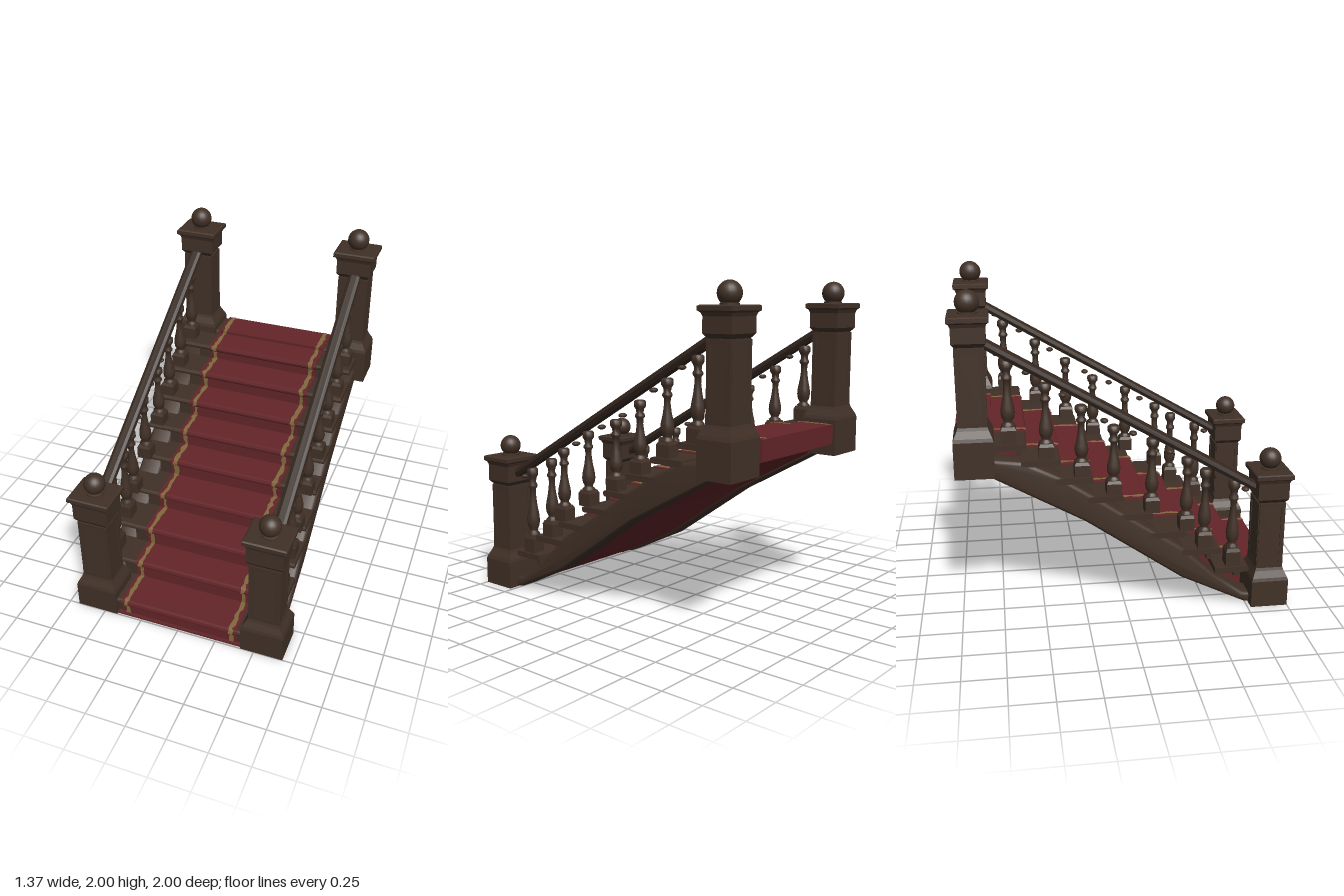
import * as THREE from 'three';
import { mergeVertices, toCreasedNormals } from 'three/addons/utils/BufferGeometryUtils.js';

const paint = (name, color) => {
  const m = new THREE.MeshStandardMaterial({ color });
  m.name = name;
  return m;
};

// front edge (z) and top (y) of each step
const FRONTS = [0.99, 0.765, 0.585, 0.37, 0.16, -0.02, -0.2, -0.39, -0.585, -0.79];
const TOPS = [0.12, 0.25, 0.385, 0.51, 0.64, 0.765, 0.89, 1.01, 1.115, 1.135];
const SOFFIT = [[0.99, 0.005], [0.77, 0.008], [0.34, 0.225], [-0.25, 0.635], [-0.84, 0.965]];
const BOARD = 0.036, RAIL_X = 0.56;

// rounded front edge of a tread, bottom to top
const nosing = (z, top, d) => [
  [z - 0.012, top - BOARD - d], [z - 0.002 + d, top - BOARD * 0.75],
  [z + d, top - BOARD * 0.4], [z - 0.005 + d, top - 0.004 + d], [z - 0.014, top + d],
];

// stepped line over all risers and treads, raised by d
function stepLine(d) {
  const line = [[FRONTS[0] - 0.025 + d, 0.005]];
  FRONTS.forEach((z, i) => {
    const prev = i ? TOPS[i - 1] : 0;
    if (TOPS[i] - prev < 0.05) line.push([z + d, prev + d], [z + d, TOPS[i] + d]);
    else {
      if (i) line.push([z - 0.025 + d, prev + d]);
      line.push([z - 0.025 + d, TOPS[i] - BOARD - d], ...nosing(z, TOPS[i], d));
    }
  });
  line.push([-0.998, TOPS.at(-1) + d]);
  return line;
}

// side outline in (z, y), extruded between x0 and x1
function sideExtrude(points, x0, x1, bevel = 0) {
  const shape = new THREE.Shape(points.map(([z, y]) => new THREE.Vector2(z, y)));
  const g = new THREE.ExtrudeGeometry(shape, {
    depth: x1 - x0 - 2 * bevel, bevelEnabled: bevel > 0, bevelSize: bevel,
    bevelThickness: bevel, bevelOffset: -bevel, bevelSegments: 3,
  });
  return g.rotateY(-Math.PI / 2).translate(x1 - bevel, 0, 0);
}

// square turned profile: [half width, y]
function squareLathe(profile, depthScale = 1) {
  const pts = profile.map(([r, y]) => new THREE.Vector2(r * Math.SQRT2, y));
  const g = new THREE.LatheGeometry(pts, 4).rotateY(Math.PI / 4).scale(1, 1, depthScale).toNonIndexed();
  g.computeVertexNormals();
  return g;
}

const roundLathe = (profile, seg = 14) => toCreasedNormals(
  mergeVertices(new THREE.LatheGeometry(profile.map(([r, y]) => new THREE.Vector2(r, y)), seg)), 0.9);

export function createModel() {
  const model = new THREE.Group();
  model.name = 'staircase';
  const wood = paint('dark wood', 0x413127);
  const railWood = paint('rail wood', 0x34271f);
  const carpet = paint('red carpet', 0x632529);
  const gold = paint('faded gold', 0x82693f);
  gold.side = THREE.DoubleSide;

  const add = (parent, name, geometry, material, x = 0, y = 0, z = 0) => {
    const mesh = new THREE.Mesh(geometry, material);
    mesh.name = name;
    mesh.position.set(x, y, z);
    parent.add(mesh);
    return mesh;
  };

  // carpeted core of the flight
  const under = [[-0.998, 1.02], [-0.85, 1.02], ...[...SOFFIT].reverse()];
  add(model, 'carpetRunner', sideExtrude([...stepLine(0.006), ...under], -0.385, 0.385), carpet);

  // underside panel between the stringers
  const panel = [...SOFFIT.map(([z, y]) => [z, y + 0.008]).reverse(), ...SOFFIT.map(([z, y]) => [z, y - 0.004])];
  add(model, 'undersidePanel', sideExtrude(panel, -0.49, 0.49), carpet);

  // wooden treads and risers
  FRONTS.forEach((z, i) => {
    const top = TOPS[i];
    const last = i === FRONTS.length - 1;
    const half = i === 0 || last ? 0.42 : 0.62;
    const back = last ? -0.985 : FRONTS[i + 1] - 0.035;
    add(model, 'tread', sideExtrude([...nosing(z, top, 0), [back, top], [back, top - BOARD]], -half, half), wood);
    if (!last) {
      const low = i ? TOPS[i - 1] - 0.01 : 0.005;
      const h = top - BOARD - low;
      add(model, 'riser', new THREE.BoxGeometry(i ? 0.94 : 0.84, h, 0.03), wood, 0, low + h / 2, z - 0.04);
    }
  });

  // worn gold stripes: ragged ribbons laid over the steps
  let seed = 7;
  const rand = () => (seed = (seed * 16807) % 2147483647) / 2147483647;
  const line = stepLine(0.0095).map(([z, y]) => new THREE.Vector2(z, y));
  for (const side of [-1, 1]) {
    const pos = [], idx = [];
    line.forEach((p, i) => {
      const next = line[i + 1] ?? p;
      const n = Math.max(1, Math.round(p.distanceTo(next) / 0.03));
      for (let k = 0; k < n; k++) {
        const q = p.clone().lerp(next, k / n);
        const inner = 0.328 + rand() * 0.012, outer = 0.352 + rand() * 0.018;
        pos.push(side * inner, q.y, q.x, side * outer, q.y, q.x);
      }
    });
    for (let a = 0; a < pos.length / 3 - 2; a += 2) {
      if (side > 0) idx.push(a, a + 1, a + 2, a + 1, a + 3, a + 2);
      else idx.push(a, a + 2, a + 1, a + 1, a + 2, a + 3);
    }
    const g = new THREE.BufferGeometry();
    g.setAttribute('position', new THREE.Float32BufferAttribute(pos, 3));
    g.setIndex(idx);
    const flat = g.toNonIndexed();
    flat.computeVertexNormals();
    add(model, 'goldStripe', flat, gold);
  }

  // newel post: base, panelled shaft, moulded cap and ball
  function newelPost(baseH, shaftTop, capTop, ballR) {
    const post = new THREE.Group();
    post.name = 'newelPost';
    const depth = 0.85;
    add(post, 'postBody', squareLathe([
      [0, 0], [0.135, 0], [0.135, baseH - 0.06], [0.128, baseH - 0.04], [0.106, baseH], [0.098, baseH + 0.02],
      [0.09, shaftTop - 0.01], [0.1, shaftTop], [0.112, shaftTop + 0.015], [0.112, capTop - 0.06],
      [0.12, capTop - 0.04], [0.135, capTop - 0.03], [0.135, capTop - 0.006], [0.125, capTop], [0, capTop],
    ], depth), wood);
    const h = shaftTop - baseH - 0.03;
    const frame = new THREE.Shape([[-0.092, 0], [0.092, 0], [0.092, h], [-0.092, h]].map(p => new THREE.Vector2(...p)));
    frame.holes.push(new THREE.Path([[-0.066, 0.03], [-0.066, h - 0.03], [0.066, h - 0.03], [0.066, 0.03]].map(p => new THREE.Vector2(...p))));
    for (let i = 0; i < 4; i++) {
      const g = new THREE.ExtrudeGeometry(frame, { depth: 0.01, bevelEnabled: false });
      g.translate(0, baseH + 0.015, 0.089).rotateY(i * Math.PI / 2).scale(1, 1, depth);
      add(post, 'panelFrame', g, wood);
    }
    add(post, 'finialNeck', roundLathe([[0.055, 0], [0.055, 0.008], [0.036, 0.014], [0.036, 0.03]]), wood, 0, capTop, 0);
    add(post, 'finialBall', new THREE.SphereGeometry(ballR, 20, 14), wood, 0, capTop + 0.13 - ballR, 0);
    return post;
  }

  // turned baluster of unit height
  const turned = roundLathe([
    [0.036, 0.2], [0.04, 0.225], [0.026, 0.25], [0.026, 0.27], [0.036, 0.31], [0.041, 0.37], [0.038, 0.44],
    [0.026, 0.56], [0.019, 0.68], [0.02, 0.75], [0.03, 0.78], [0.03, 0.8], [0.021, 0.83], [0.024, 0.88],
    [0.036, 0.92], [0.036, 0.98], [0.028, 1], [0, 1],
  ]);
  const plinth = squareLathe([[0, 0], [0.045, 0], [0.045, 0.17], [0.036, 0.21], [0, 0.21]]);
  const balusterZ = [0.665, 0.485, 0.37, 0.155, -0.075, -0.265, -0.47, -0.685];
  const balusterTop = [0.81, 0.89, 0.97, 1.1, 1.19, 1.32, 1.46, 1.6];
  const beads = [[0.735, 0.745], [0.26, 1.01], [0.04, 1.135], [-0.13, 1.22], [-0.37, 1.385], [-0.575, 1.525], [-0.735, 1.64]];

  // sloping stringer outline
  const stringer = [
    [0.79, 0.0], [0.74, 0.005], [0.34, 0.2], [-0.25, 0.61], [-0.84, 0.94], [-0.84, 1.03], [-0.6, 1.0],
    [-0.4, 0.9], [-0.2, 0.77], [0, 0.63], [0.33, 0.41], [0.55, 0.2], [0.73, 0.07], [0.79, 0.06],
  ].reverse();

  const railA = new THREE.Vector2(0.81, 0.755), railB = new THREE.Vector2(-0.81, 1.705);
  const slope = Math.atan2(railB.y - railA.y, railA.x - railB.x);

  for (const side of [-1, 1]) {
    const flank = new THREE.Group();
    flank.name = side > 0 ? 'leftSide' : 'rightSide';
    model.add(flank);

    const front = newelPost(0.23, 0.69, 0.87, 0.066);
    front.position.set(side * 0.55, 0, 0.885);
    const back = newelPost(0.28, 0.765, 0.93, 0.069);
    back.position.set(side * 0.55, 0.94, -0.885);
    flank.add(front, back);

    const [x0, x1] = side > 0 ? [0.47, 0.62] : [-0.62, -0.47];
    add(flank, 'stringer', toCreasedNormals(sideExtrude(stringer, x0, x1, 0.02), 0.7), wood);

    // handrail: moulded section running up the slope
    const section = new THREE.Shape([[-0.03, -0.026], [0.03, -0.026], [0.042, -0.004], [0.036, 0.018], [0.018, 0.026],
      [-0.018, 0.026], [-0.036, 0.018], [-0.042, -0.004]].map(p => new THREE.Vector2(...p)));
    const length = railA.distanceTo(railB);
    const railGeo = new THREE.ExtrudeGeometry(section, { depth: length, bevelEnabled: false });
    railGeo.translate(0, 0, -length / 2).rotateX(slope);
    add(flank, 'handrail', railGeo, railWood, side * RAIL_X, (railA.y + railB.y) / 2, 0);

    balusterZ.forEach((z, i) => {
      const baluster = new THREE.Group();
      baluster.name = 'baluster';
      const foot = TOPS[i + 1] - 0.003;
      baluster.position.set(side * RAIL_X, foot, z);
      baluster.scale.y = balusterTop[i] - foot;
      add(baluster, 'plinth', plinth, wood);
      add(baluster, 'turnedShaft', turned, wood);
      flank.add(baluster);
    });

    // small beads beneath the rail
    for (const [z, y] of beads) {
      const bead = add(flank, 'railBead', new THREE.SphereGeometry(0.024, 10, 6), wood, side * RAIL_X, y, z);
      bead.scale.set(1.2, 0.6, 1);
    }
  }
  return model;
}
